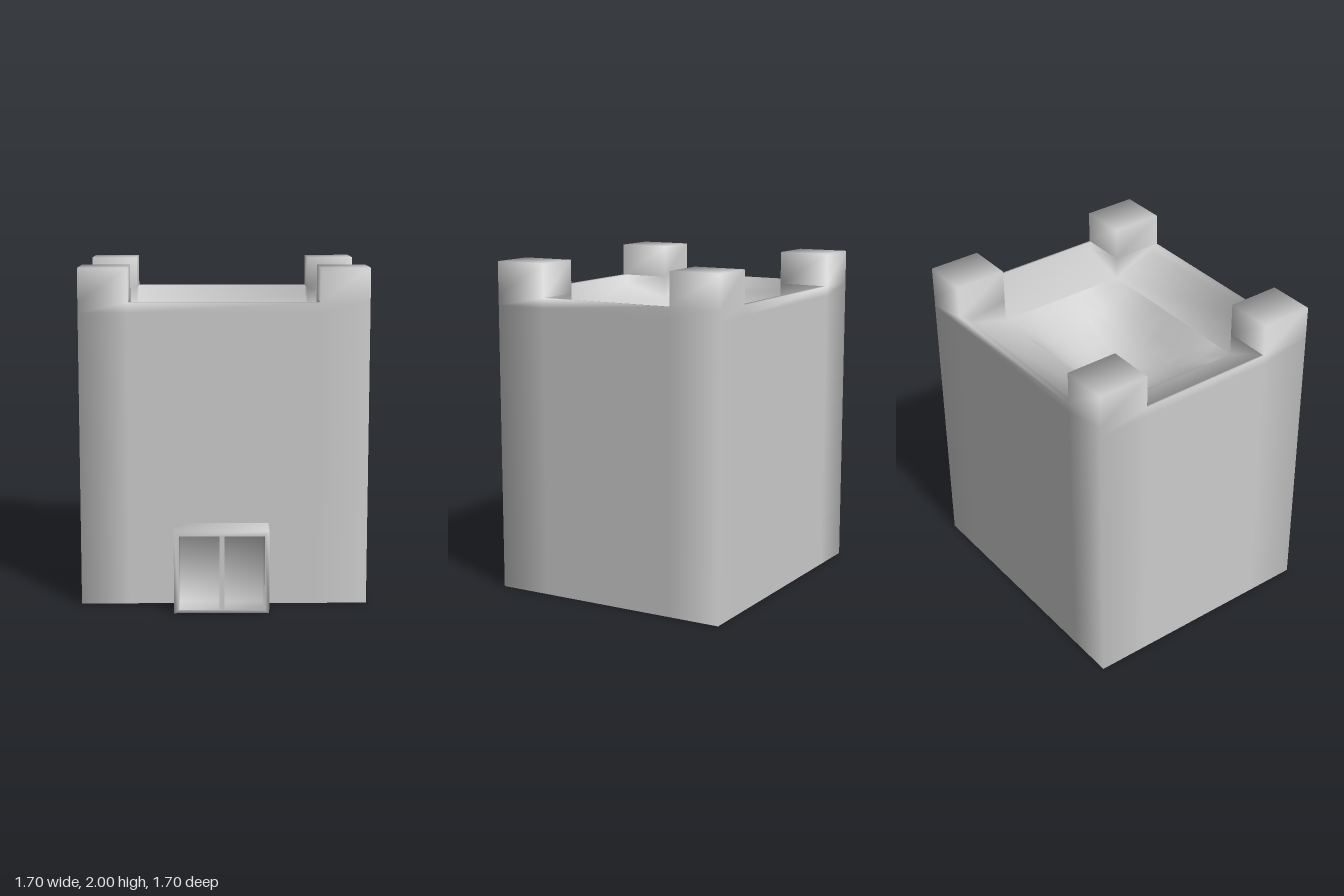
import * as THREE from 'three';

const material = new THREE.MeshStandardMaterial({ color: 0xcccccc, side: THREE.DoubleSide });

// Collects quads with shared corners. Every distinct face direction at a corner
// counts equally, which gives soft, rounded shading over the edges.
// The hint is a rough outward direction that settles the corner order.
function quadBuilder() {
  const positions = [], index = [], directions = [], seen = new Map();
  const vertex = (p) => {
    const key = p.map((v) => v.toFixed(4)).join();
    if (!seen.has(key)) {
      seen.set(key, positions.length / 3);
      positions.push(...p);
      directions.push([]);
    }
    return seen.get(key);
  };
  return {
    quad(a, b, c, d, hint) {
      const A = new THREE.Vector3(...a);
      const n = new THREE.Vector3(...c).sub(A);
      n.cross(new THREE.Vector3(...d).sub(new THREE.Vector3(...b))).normalize();
      const q = [a, b, c, d].map(vertex);
      if (n.dot(new THREE.Vector3(...hint)) < 0) {
        q.reverse();
        n.negate();
      }
      for (const v of q) if (!directions[v].some((m) => m.dot(n) > 0.99)) directions[v].push(n);
      index.push(q[0], q[1], q[2], q[0], q[2], q[3]);
    },
    mesh(name) {
      const normals = directions.flatMap((list) =>
        list.reduce((sum, n) => sum.add(n), new THREE.Vector3()).normalize().toArray());
      const g = new THREE.BufferGeometry();
      g.setAttribute('position', new THREE.Float32BufferAttribute(positions, 3));
      g.setAttribute('normal', new THREE.Float32BufferAttribute(normals, 3));
      g.setIndex(index);
      const m = new THREE.Mesh(g, material);
      m.name = name;
      return m;
    },
  };
}

// Square tower, open below, with a dished roof and four raised corners
function towerBody() {
  const b = quadBuilder();
  const ledge = 1.66, foot = 1.74, rim = 1.8, top = 2;
  const levels = [0, foot, rim, top];
  // outer face, inner face of the parapet, inner face of the corner block
  const X = (s) => ({ o: 0.85 * s, i: 0.835 * s, p: 0.56 * s });
  const Z = (s) => (s > 0 ? { o: 0.64, i: 0.605, p: 0.315 } : { o: -0.85, i: -0.82, p: -0.53 });

  // upright strip between two plan points; its foot may slope from y0 to y0q
  const upright = (p, q, y0, y1, hint, y0q = y0) =>
    b.quad([p[0], y0, p[1]], [q[0], y0q, q[1]], [q[0], y1, q[1]], [p[0], y1, p[1]], hint);
  // level rectangle facing up
  const level = (x0, x1, z0, z1, y) =>
    b.quad([x0, y, z0], [x1, y, z0], [x1, y, z1], [x0, y, z1], [0, 1, 0]);

  // corner blocks
  for (const sx of [-1, 1]) for (const sz of [-1, 1]) {
    const x = X(sx), z = Z(sz);
    for (let k = 0; k < 3; k++) {
      upright([x.o, z.o], [x.p, z.o], levels[k], levels[k + 1], [0, 0, sz]);
      upright([x.o, z.o], [x.o, z.p], levels[k], levels[k + 1], [sx, 0, 0]);
    }
    upright([x.p, z.p], [x.p, z.i], ledge, rim, [-sx, 0, 0], foot);
    upright([x.p, z.p], [x.p, z.o], rim, top, [-sx, 0, 0]);
    upright([x.p, z.p], [x.i, z.p], ledge, rim, [0, 0, -sz], foot);
    upright([x.p, z.p], [x.o, z.p], rim, top, [0, 0, -sz]);
    level(x.p, x.o, z.p, z.o, top);
  }

  // walls, parapets and the sloping ledges between the corners
  const xl = X(-1).p, xr = X(1).p, zb = Z(-1).p, zf = Z(1).p;
  for (const s of [-1, 1]) {
    const x = X(s), z = Z(s);
    for (let k = 0; k < 2; k++) {
      upright([xl, z.o], [xr, z.o], levels[k], levels[k + 1], [0, 0, s]);
      upright([x.o, zb], [x.o, zf], levels[k], levels[k + 1], [s, 0, 0]);
    }
    level(xl, xr, z.i, z.o, rim);
    level(x.i, x.o, zb, zf, rim);
    upright([xl, z.i], [xr, z.i], foot, rim, [0, 0, -s]);
    upright([x.i, zb], [x.i, zf], foot, rim, [-s, 0, 0]);
    b.quad([xl, ledge, z.p], [xr, ledge, z.p], [xr, foot, z.i], [xl, foot, z.i], [0, 1, 0]);
    b.quad([x.p, ledge, zb], [x.p, ledge, zf], [x.i, foot, zf], [x.i, foot, zb], [0, 1, 0]);
  }

  // dished middle of the roof
  const n = 8, depth = 0.3;
  const dish = (i, j) => {
    const u = (2 * i) / n - 1, v = (2 * j) / n - 1;
    return [
      THREE.MathUtils.lerp(xl, xr, i / n),
      ledge - depth * (1 - u * u) * (1 - v * v),
      THREE.MathUtils.lerp(zb, zf, j / n),
    ];
  };
  for (let i = 0; i < n; i++) for (let j = 0; j < n; j++)
    b.quad(dish(i, j), dish(i + 1, j), dish(i + 1, j + 1), dish(i, j + 1), [0, 1, 0]);
  return b.mesh('towerBody');
}

// Rectangle corners in order, at depth z
const rectangle = (x0, x1, y0, y1, z) => [[x0, y0, z], [x1, y0, z], [x1, y1, z], [x0, y1, z]];

// Porch running through the front wall, open behind
function porch() {
  const group = new THREE.Group();
  group.name = 'porch';
  const back = rectangle(-0.295, 0.262, 0, 0.49, 0.42);
  const wall = rectangle(-0.295, 0.262, 0, 0.49, 0.64);
  const front = rectangle(-0.295, 0.262, 0, 0.49, 0.85);
  const mouth = rectangle(-0.265, 0.235, 0.02, 0.46, 0.85);
  const rear = rectangle(-0.26, 0.23, 0.03, 0.455, 0.7);
  const out = [[0, -1, 0], [1, 0, 0], [0, 1, 0], [-1, 0, 0]];

  const shell = quadBuilder(), recess = quadBuilder();
  for (let k = 0; k < 4; k++) {
    const n = (k + 1) % 4;
    // the underside only covers the part in front of the wall
    const start = k === 0 ? wall : back;
    shell.quad(start[k], start[n], front[n], front[k], out[k]);
    shell.quad(front[k], front[n], mouth[n], mouth[k], [0, 0, 1]);
    recess.quad(mouth[k], mouth[n], rear[n], rear[k], out[k].map((v) => -v));
  }
  recess.quad(...rear, [0, 0, 1]);
  group.add(shell.mesh('porchShell'), recess.mesh('porchRecess'));

  const mullion = new THREE.Mesh(new THREE.BoxGeometry(0.03, 0.44, 0.04), material);
  mullion.position.set(-0.015, 0.24, 0.825);
  mullion.name = 'porchMullion';
  group.add(mullion);
  return group;
}

export function createModel() {
  const model = new THREE.Group();
  model.name = 'tower';
  model.add(towerBody(), porch());
  return model;
}
